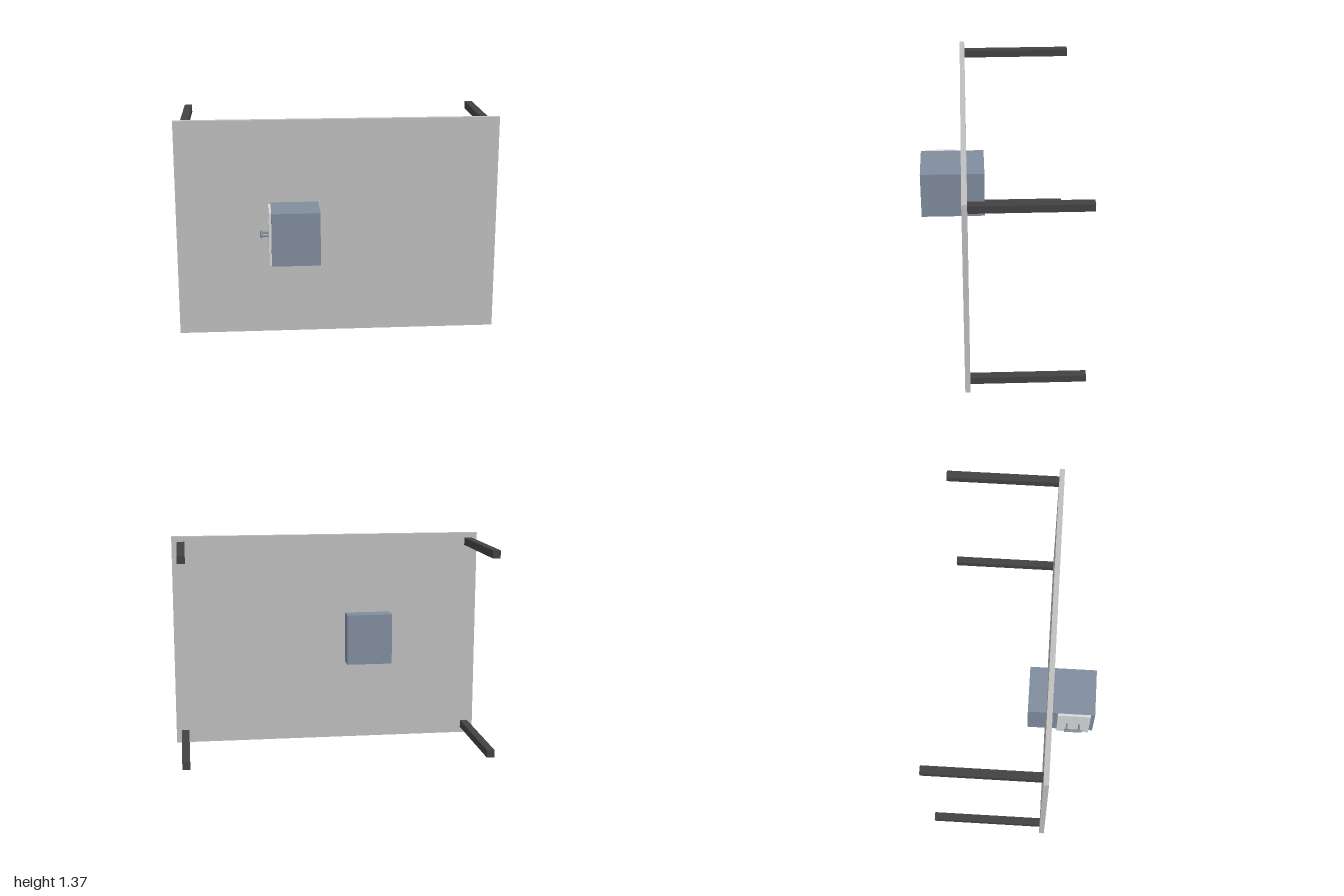
import * as THREE from 'three';

const material = (name, color, side = THREE.FrontSide) => {
  const m = new THREE.MeshStandardMaterial({ color, side });
  m.name = name;
  return m;
};

export function createModel() {
  const model = new THREE.Group();
  const grey = material('panel grey', 0xbfbfbf);
  const charcoal = material('leg charcoal', 0x424245);
  const slate = material('slate blue', 0x808c9e);
  const pale = material('pale grey', 0xd6d8da);

  // Box given by its low and high corners
  const box = (name, mat, lo, hi) => {
    const size = hi.map((v, i) => v - lo[i]);
    const mesh = new THREE.Mesh(new THREE.BoxGeometry(...size), mat);
    mesh.position.set(...hi.map((v, i) => (v + lo[i]) / 2));
    mesh.name = name;
    model.add(mesh);
  };

  // Upright table top
  box('tabletop', grey, [-1, 0, 0.198], [1, 1.366, 0.23]);

  // Four legs reaching back from the corners
  for (const x of [-0.941, 0.941]) {
    for (const y of [0.06, 1.309]) {
      box('leg', charcoal, [x - 0.024, y - 0.024, -0.501], [x + 0.024, y + 0.024, 0.198]);
    }
  }

  // Cabinet passing through the top, with a door plate on its right side
  box('cabinet', slate, [-0.417, 0.521, 0.083], [-0.122, 0.849, 0.5]);
  box('doorPlate', pale, [-0.432, 0.521, 0.27], [-0.417, 0.849, 0.474]);

  // Bar handle on two posts
  const handle = new THREE.Group();
  handle.name = 'handle';
  const bar = new THREE.Mesh(new THREE.CylinderGeometry(0.009, 0.009, 0.108, 16), slate);
  bar.name = 'handleBar';
  bar.rotation.x = Math.PI / 2;
  bar.position.set(-0.476, 0.687, 0.371);
  handle.add(bar);
  for (const z of [0.332, 0.41]) {
    const post = new THREE.Mesh(new THREE.CylinderGeometry(0.006, 0.006, 0.044, 12), slate);
    post.name = 'handlePost';
    post.rotation.z = Math.PI / 2;
    post.position.set(-0.454, 0.687, z);
    handle.add(post);
  }
  model.add(handle);
  return model;
}
